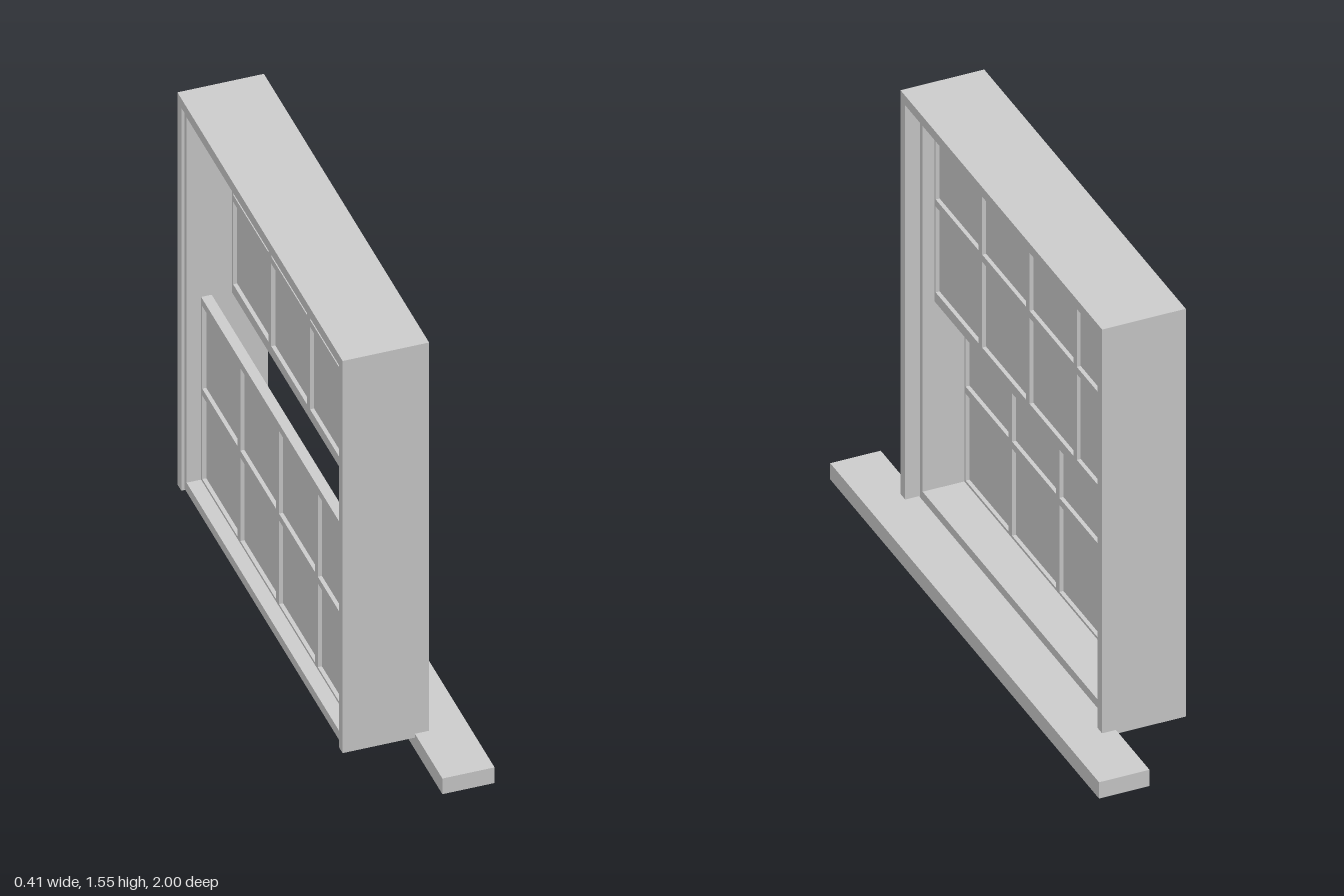
import * as THREE from 'three';

const material = new THREE.MeshStandardMaterial({ color: 0xcccccc, flatShading: true });

// Box given by its limits along each axis
function box(parent, name, [x0, x1], [y0, y1], [z0, z1]) {
  const mesh = new THREE.Mesh(new THREE.BoxGeometry(x1 - x0, y1 - y0, z1 - z0), material);
  mesh.name = name;
  mesh.position.set((x0 + x1) / 2, (y0 + y1) / 2, (z0 + z1) / 2);
  parent.add(mesh);
}

// Sash: rails, stiles, glazing bars and a thin recessed pane
function sash(name, [x0, x1], [y0, y1], [paneBottom, paneTop], barY) {
  const group = new THREE.Group();
  group.name = name;
  const half = 0.695, paneHalf = 0.685, mid = (x0 + x1) / 2;
  box(group, 'bottomRail', [x0, x1], [y0, paneBottom], [-half, half]);
  box(group, 'topRail', [x0, x1], [paneTop, y1], [-half, half]);
  for (const s of [-1, 1]) {
    const z = [s * paneHalf, s * half].sort((a, b) => a - b);
    box(group, 'stile', [x0, x1], [paneBottom, paneTop], z);
  }
  for (const z of [-0.352, 0, 0.352]) {
    box(group, 'verticalBar', [x0, x1], [paneBottom, paneTop], [z - 0.013, z + 0.013]);
  }
  box(group, 'horizontalBar', [x0, x1], [barY - 0.013, barY + 0.013], [-paneHalf, paneHalf]);
  box(group, 'glass', [mid - 0.004, mid + 0.004], [paneBottom, paneTop], [-paneHalf, paneHalf]);
  return group;
}

export function createModel() {
  const model = new THREE.Group();
  model.name = 'sashWindow';

  // Outer casing, open at the bottom
  const casing = new THREE.Group();
  casing.name = 'casing';
  box(casing, 'casingHead', [-0.205, 0.08], [1.515, 1.55], [-0.75, 0.75]);
  box(casing, 'casingJamb', [-0.205, 0.08], [0.045, 1.515], [0.715, 0.75]);
  box(casing, 'casingJamb', [-0.205, 0.08], [0.045, 1.515], [-0.75, -0.715]);
  model.add(casing);

  // Inner liner, set back from the casing faces
  const liner = new THREE.Group();
  liner.name = 'liner';
  const depth = [-0.195, 0.03];
  box(liner, 'linerHead', depth, [1.49, 1.515], [-0.715, 0.715]);
  box(liner, 'linerBase', depth, [0.052, 0.087], [-0.715, 0.715]);
  box(liner, 'linerJamb', depth, [0.087, 1.49], [0.695, 0.715]);
  box(liner, 'linerJamb', depth, [0.087, 1.49], [-0.715, -0.695]);
  model.add(liner);

  // Sliding sashes in separate planes
  model.add(sash('upperSash', [-0.045, -0.01], [0.78, 1.49], [0.818, 1.478], 1.148));
  model.add(sash('lowerSash', [-0.147, -0.112], [0.087, 0.788], [0.096, 0.76], 0.43));

  // Projecting sill
  box(model, 'sill', [0.033, 0.205], [0, 0.06], [-1, 1]);
  return model;
}
